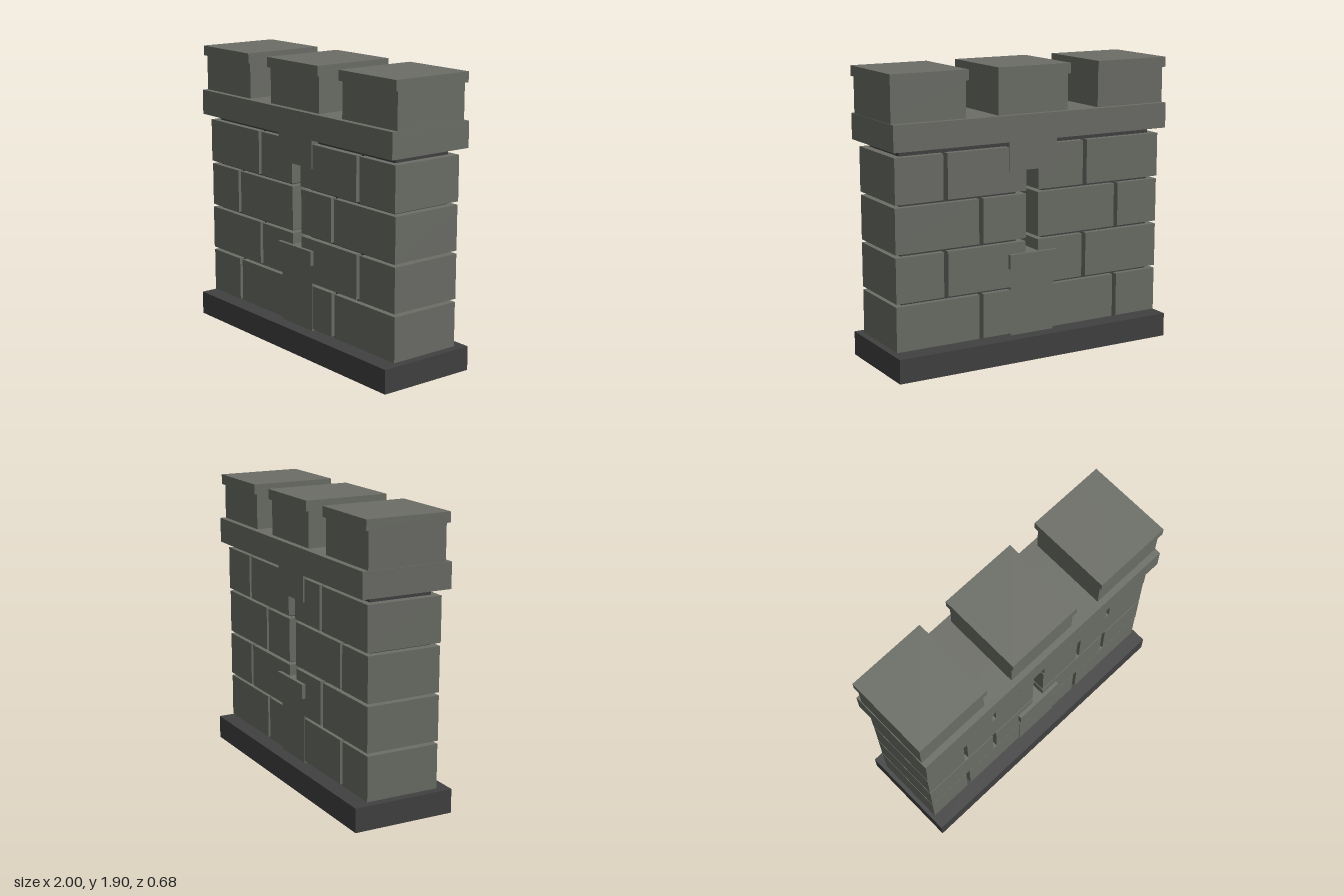
import * as THREE from 'three';

export function createModel() {
  const stone = new THREE.MeshStandardMaterial({ name: 'grey stone', color: 0x6b6d66 });
  const dark = new THREE.MeshStandardMaterial({ name: 'dark stone', color: 0x414141 });
  const wall = new THREE.Group();
  wall.name = 'battlementWall';

  // Box from x and y ranges, centred in depth
  const block = (name, x0, x1, y0, y1, halfDepth, material = stone, parent = wall) => {
    const mesh = new THREE.Mesh(new THREE.BoxGeometry(x1 - x0, y1 - y0, halfDepth * 2), material);
    mesh.position.set((x0 + x1) / 2, (y0 + y1) / 2, 0);
    mesh.name = name;
    parent.add(mesh);
  };

  // Plinth and recessed mortar core on both sides of the slit
  block('plinth', -0.996, 0.992, 0, 0.157, 0.34, dark);
  block('mortarCoreRight', -0.918, -0.1, 0.157, 1.43, 0.21, dark);
  block('mortarCoreLeft', 0.1, 0.914, 0.157, 1.43, 0.21, dark);

  // Four brick courses with staggered joints, split by the slit
  const slit = 0.046;
  const depths = [0.246, 0.249, 0.249, 0.254];
  depths.forEach((depth, row) => {
    const course = new THREE.Group();
    course.name = `brickCourse${row + 1}`;
    wall.add(course);
    const joints = row % 2 ? [-0.395, 0.62] : [-0.645, 0.37];
    const y0 = 0.17 + row * 0.31;
    const spans = [
      [-0.97, joints[0] - 0.015], [joints[0] + 0.015, -slit],
      [slit, joints[1] - 0.015], [joints[1] + 0.015, 0.965],
    ];
    for (const [x0, x1] of spans) block('brick', x0, x1, y0, y0 + 0.29, depth, stone, course);
  });

  // Arrow slit surround
  block('slitInfill', -0.16, 0.158, 0.157, 0.65, 0.25);
  block('slitSill', -0.176, 0.174, 0.602, 0.697, 0.274);
  block('slitLintel', -0.176, 0.174, 1.237, 1.43, 0.263);

  // Parapet ledge and capped merlons
  block('parapetLedge', -0.996, 0.992, 1.43, 1.597, 0.304);
  for (const x of [-0.737, 0, 0.735]) {
    block('merlon', x - 0.254, x + 0.254, 1.597, 1.832, 0.264);
    block('merlonCap', x - 0.264, x + 0.264, 1.832, 1.898, 0.285);
  }
  return wall;
}
